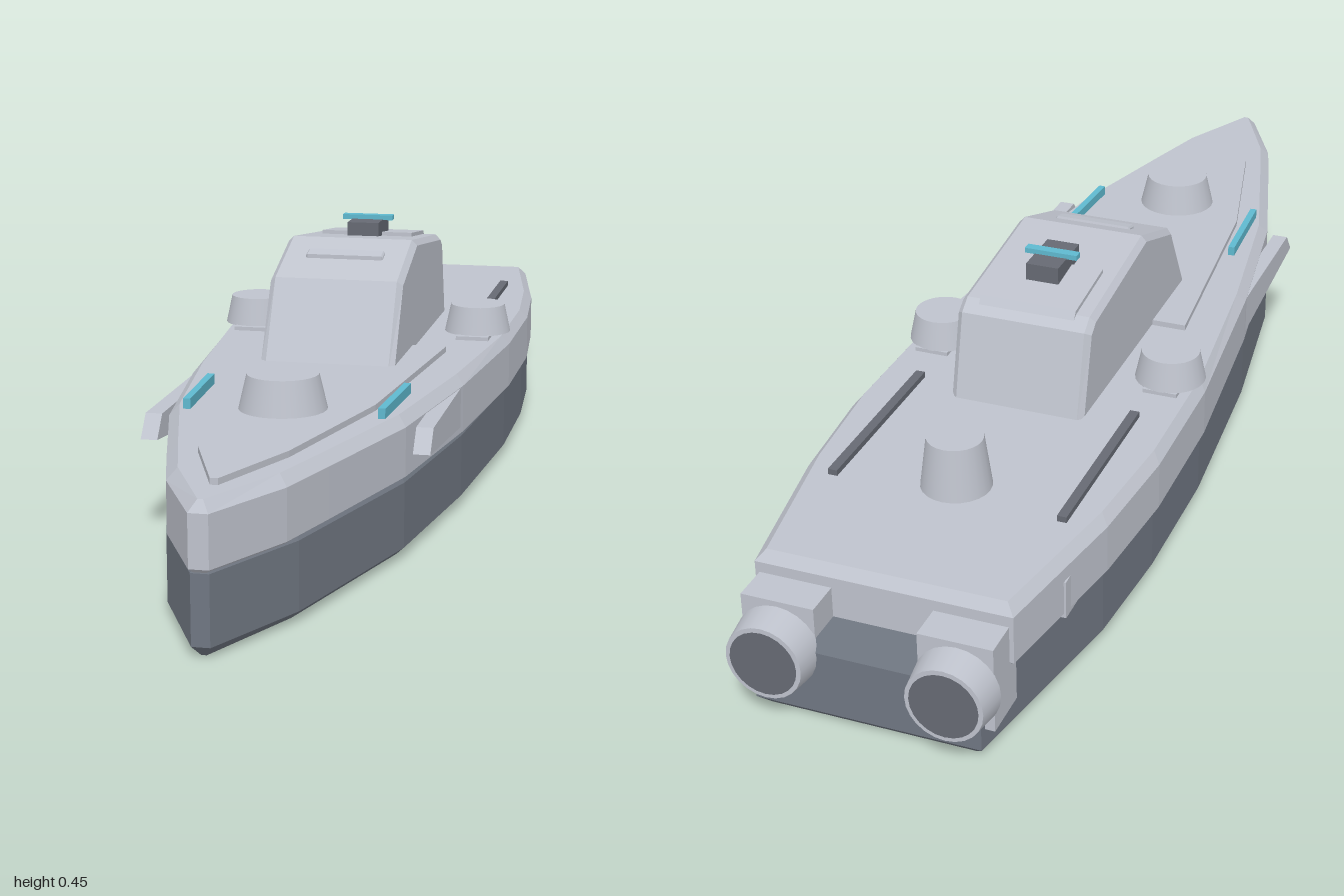
import * as THREE from 'three';

const mat = (name, color, extra = {}) => {
  const m = new THREE.MeshStandardMaterial({ color, flatShading: true, ...extra });
  m.name = name;
  return m;
};

export function createModel() {
  const group = new THREE.Group();
  const pale = mat('paleGrey', 0xbfc3cd);
  const slate = mat('slate', 0x707782);
  const dark = mat('darkGrey', 0x666a73);
  const cyan = mat('cyan', 0x5fb9cf);
  const smooth = mat('paleGreySmooth', 0xbfc3cd, { flatShading: false });

  const add = (name, geo, material, x = 0, y = 0, z = 0) => {
    const mesh = new THREE.Mesh(geo, material);
    mesh.name = name;
    mesh.position.set(x, y, z);
    group.add(mesh);
    return mesh;
  };
  const box = (name, m, x0, x1, y0, y1, z0, z1) =>
    add(name, new THREE.BoxGeometry(x1 - x0, y1 - y0, z1 - z0), m,
      (x0 + x1) / 2, (y0 + y1) / 2, (z0 + z1) / 2);

  // Stacks mirrored half outlines [x, z] (bow to stern) at levels [y, inset]
  const loft = (half, levels) => {
    const rings = levels.map(([y, inset]) => {
      const side = half.map(([x, z]) => [Math.max(x - inset, 0.004), y, z - Math.sign(z) * inset]);
      return [...side, ...side.slice().reverse().map(([x, h, z]) => [-x, h, z])];
    });
    const n = rings[0].length, pos = [];
    const tri = (a, b, c) => pos.push(...a, ...b, ...c);
    for (let k = 0; k < rings.length - 1; k++) {
      for (let i = 0; i < n; i++) {
        const j = (i + 1) % n, lo = rings[k], hi = rings[k + 1];
        tri(lo[i], lo[j], hi[j]);
        tri(lo[i], hi[j], hi[i]);
      }
    }
    const bottom = rings[0], top = rings[rings.length - 1];
    for (let i = 1; i < n - 1; i++) {
      tri(bottom[0], bottom[i + 1], bottom[i]);
      tri(top[0], top[i], top[i + 1]);
    }
    const geo = new THREE.BufferGeometry();
    geo.setAttribute('position', new THREE.Float32BufferAttribute(pos, 3));
    geo.computeVertexNormals();
    return geo;
  };

  // Extrudes a side profile of [z, y] points across x, centred
  const profile = (pts, width, bevel = 0) => {
    const shape = new THREE.Shape(pts.map(([z, y]) => new THREE.Vector2(z, y)));
    const depth = width - bevel * 2;
    const geo = new THREE.ExtrudeGeometry(shape, {
      depth, bevelEnabled: bevel > 0, bevelSize: bevel, bevelThickness: bevel,
      bevelOffset: -bevel, bevelSegments: 1,
    });
    return geo.translate(0, 0, -depth / 2).rotateY(-Math.PI / 2);
  };

  // Hull
  add('lowerHull', loft([[0.014, 0.995], [0.1, 0.82], [0.195, 0.49], [0.238, 0.18],
    [0.264, -0.17], [0.264, -0.42], [0.25, -0.62], [0.185, -0.96]],
  [[0, 0.016], [0.017, 0], [0.125, 0], [0.143, 0.01]]), slate);
  add('upperHull', loft([[0.015, 1], [0.09, 0.85], [0.125, 0.73], [0.195, 0.48], [0.24, 0.18],
    [0.272, -0.17], [0.274, -0.42], [0.257, -0.62], [0.21, -0.89]],
  [[0.12, 0.012], [0.132, 0], [0.213, 0], [0.23, 0.014]]), pale);
  add('foredeck', loft([[0.006, 0.915], [0.07, 0.75], [0.14, 0.45], [0.18, 0]],
    [[0.225, 0], [0.24, 0]]), pale);

  // Cabin with sloping front and roof
  add('cabin', profile([[0.187, 0.225], [0.104, 0.375], [-0.04, 0.425], [-0.3, 0.393],
    [-0.325, 0.375], [-0.362, 0.225]], 0.238, 0.01), pale);
  add('roofPanel', profile([[-0.17, 0.405], [-0.17, 0.416], [-0.3, 0.4], [-0.31, 0.385]], 0.17), pale);
  add('browVent', profile([[0.035, 0.394], [0.035, 0.406], [0.01, 0.412], [0.005, 0.4]], 0.14, 0.003), pale);
  box('roofMount', dark, -0.029, 0.029, 0.405, 0.438, -0.235, -0.135);
  box('roofLight', cyan, -0.047, 0.047, 0.437, 0.446, -0.195, -0.178);

  // Tapered gun drums
  const drum = (name, x, z, y0, y1, top, bottom) => {
    const geo = new THREE.CylinderGeometry(top, bottom, y1 - y0, 24).toNonIndexed();
    return add(name, geo, smooth, x, (y0 + y1) / 2, z);
  };
  drum('frontDrum', 0, 0.5, 0.238, 0.297, 0.058, 0.072);
  drum('rearDrum', 0, -0.61, 0.228, 0.318, 0.046, 0.058);

  for (const s of [1, -1]) {
    const side = s > 0 ? 'left' : 'right';
    const pair = (x0, x1) => (s > 0 ? [x0, x1] : [-x1, -x0]);

    drum(side + 'Drum', s * 0.211, -0.175, 0.236, 0.287, 0.05, 0.061);
    box(side + 'DrumBase', pale, ...pair(0.181, 0.241), 0.22, 0.237, -0.235, -0.105);

    // Side fin running back into the hull
    add(side + 'SideFin', profile([[0.47, 0.212], [0.5, 0.175], [0.15, 0.138], [-0.2, 0.125],
      [-0.75, 0.125], [-0.75, 0.19], [-0.2, 0.212]], 0.028), pale, s * 0.224);

    box(side + 'DeckRail', dark, ...pair(0.187, 0.203), 0.225, 0.24, -0.655, -0.315);
    const strip = box(side + 'LightStrip', cyan, ...pair(0.158, 0.17), 0.226, 0.247, 0.32, 0.5);
    strip.rotation.y = -s * 0.05;

    // Engine pod and nozzle at the stern
    box(side + 'EngineMount', pale, ...pair(0.083, 0.203), 0.05, 0.195, -0.95, -0.84);
    add(side + 'Nozzle', new THREE.CylinderGeometry(0.062, 0.069, 0.05, 24, 1).rotateX(Math.PI / 2).rotateY(Math.PI),
      smooth, s * 0.145, 0.117, -0.975).rotation.x = 0;
    add(side + 'NozzleCore', new THREE.CircleGeometry(0.055, 24).rotateY(Math.PI),
      dark, s * 0.145, 0.117, -1.001);
  }
  return group;
}
